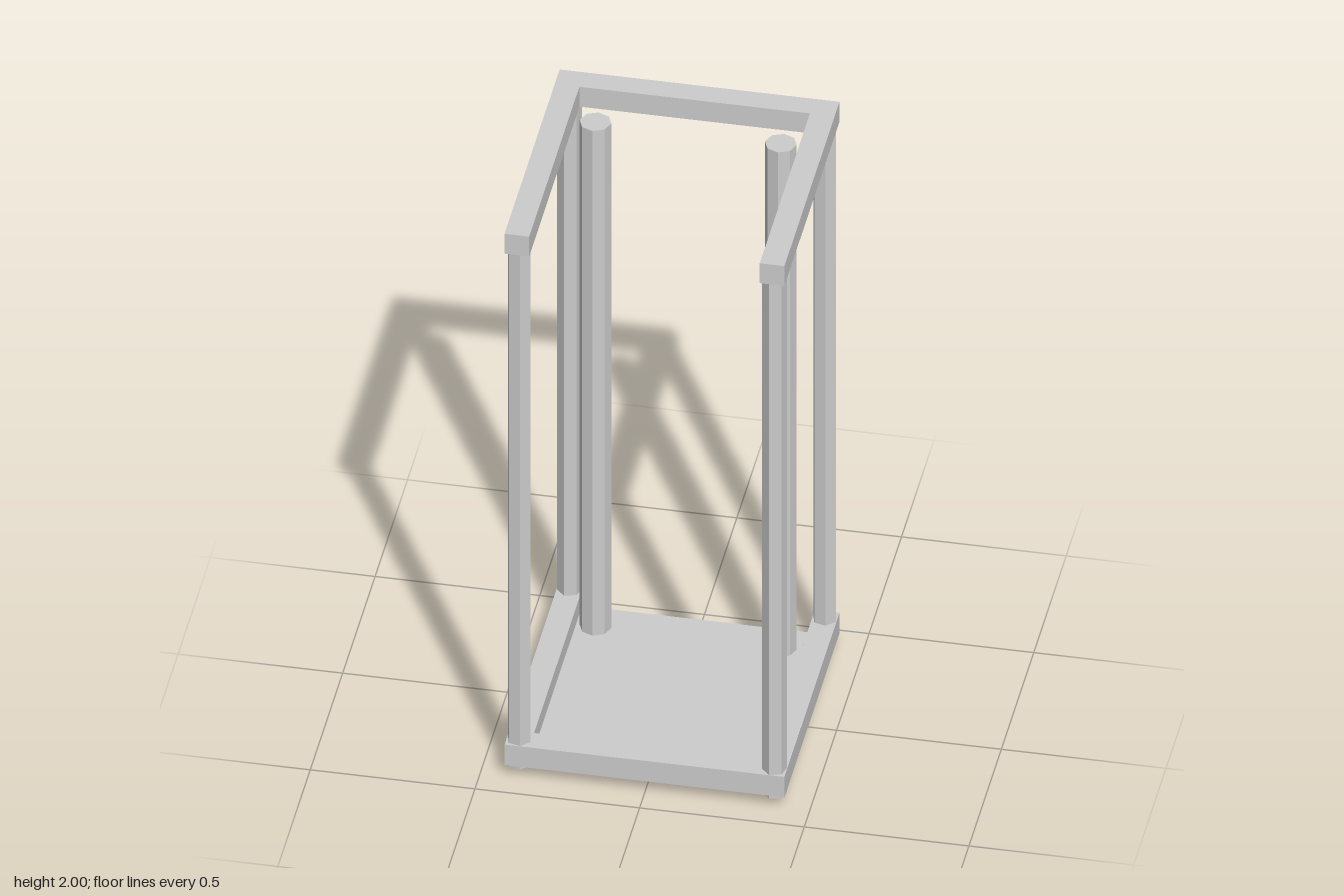
import * as THREE from 'three';

const material = new THREE.MeshStandardMaterial({ color: 0xcccccc, flatShading: true });

export function createModel() {
  const model = new THREE.Group();
  model.name = 'openFrame';

  const add = (name, geometry, x, y, z) => {
    const mesh = new THREE.Mesh(geometry, material);
    mesh.name = name;
    mesh.position.set(x, y, z);
    model.add(mesh);
    return mesh;
  };

  // Box and prism given by their bottom and top heights
  const bar = (name, w, d, y0, y1, x, z) =>
    add(name, new THREE.BoxGeometry(w, y1 - y0, d), x, (y0 + y1) / 2, z);
  const prism = (name, r, sides, y0, y1, x, z) =>
    add(name, new THREE.CylinderGeometry(r, r, y1 - y0, sides), x, (y0 + y1) / 2, z);

  const half = 0.425, beam = 0.075, mid = half - beam / 2;

  // Upper frame open at the front, lower frame open at the back
  const frames = [['upper', 1.927, 2, -1], ['lower', 0.045, 0.12, 1]];
  for (const [level, y0, y1, end] of frames) {
    for (const s of [-1, 1]) bar(level + 'SideBeam', beam, half * 2, y0, y1, s * mid, 0);
    bar(level + (end < 0 ? 'BackBeam' : 'FrontBeam'), (half - beam) * 2, beam, y0, y1, 0, end * mid);
  }

  // Hexagonal corner posts, one edge turned to the outer corner
  for (const sx of [-1, 1]) {
    for (const sz of [-1, 1]) {
      const post = prism('cornerPost', 0.0375, 6, 0.033, 1.94, sx * mid, sz * mid);
      post.rotation.y = Math.atan2(sx, sz);
    }
  }

  // Floor plate
  bar('floorPlate', 0.684, 0.7, 0.02, 0.09, 0, 0);

  // Octagonal poles standing through the plate near the back
  prism('rightPole', 0.048, 8, 0, 1.947, -0.283, -0.257);
  prism('leftPole', 0.048, 8, 0, 1.947, 0.28, -0.257);

  return model;
}
